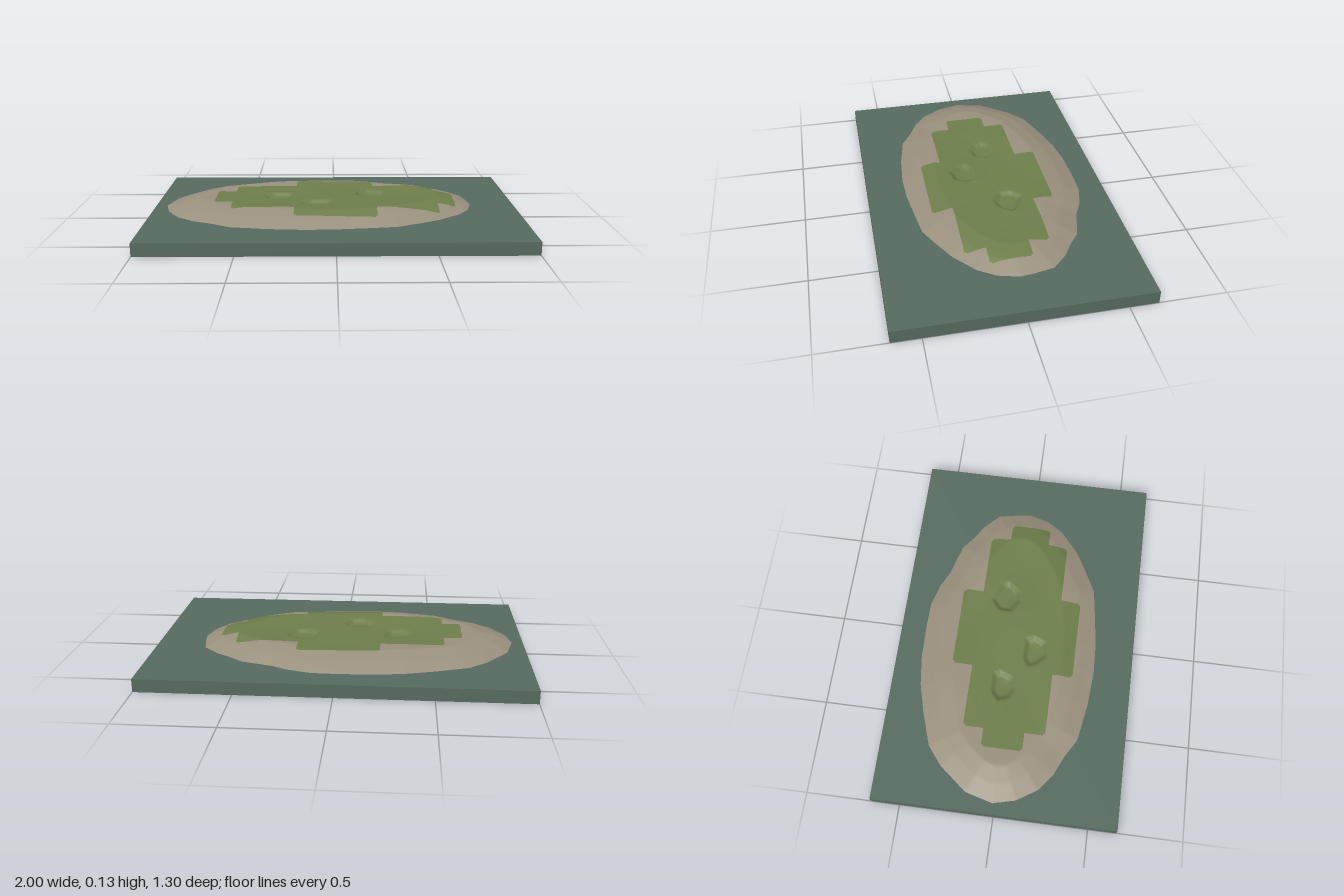
import * as THREE from 'three';

const STEP = 0.01, WATER = 0.07;

// Shoreline as x, z pairs
const SHORE = [
  -0.94, -0.01, -0.9, -0.16, -0.78, -0.31, -0.68, -0.39, -0.5, -0.45, -0.35, -0.49, -0.2, -0.51,
  0, -0.515, 0.13, -0.51, 0.25, -0.475, 0.33, -0.435, 0.5, -0.385, 0.57, -0.33, 0.65, -0.28,
  0.73, -0.2, 0.75, -0.1, 0.76, -0.02, 0.73, 0.09, 0.67, 0.18, 0.55, 0.28, 0.42, 0.35,
  0.32, 0.4, 0.17, 0.42, 0, 0.44, -0.16, 0.445, -0.35, 0.43, -0.55, 0.395, -0.65, 0.335,
  -0.75, 0.29, -0.84, 0.22, -0.91, 0.11,
];

// Outlines of the three hollows
const HOLLOWS = [
  [-0.4, -0.06, -0.35, -0.1, -0.25, -0.1, -0.23, -0.06, -0.26, 0.01, -0.33, 0.03, -0.38, 0],
  [0.12, -0.12, 0.18, -0.17, 0.28, -0.12, 0.3, -0.085, 0.25, -0.02, 0.19, -0.005, 0.12, -0.05],
  [-0.19, 0.08, -0.14, 0.05, -0.03, 0.05, -0.01, 0.1, -0.04, 0.165, -0.12, 0.18, -0.17, 0.13],
];

// Height over the distance inland from the shore
const SLOPE = [[-0.05, 0.045], [0, WATER], [0.09, 0.106], [0.18, 0.127], [0.3, 0.122], [0.6, 0.117]];

// Distance to a polygon's edge, positive inside
function insideDistance(poly, x, z) {
  let best = Infinity, inside = false;
  const n = poly.length;
  for (let i = 0; i < n; i += 2) {
    const ax = poly[i], az = poly[i + 1], bx = poly[(i + 2) % n], bz = poly[(i + 3) % n];
    const dx = bx - ax, dz = bz - az;
    const t = THREE.MathUtils.clamp(((x - ax) * dx + (z - az) * dz) / (dx * dx + dz * dz), 0, 1);
    best = Math.min(best, Math.hypot(x - ax - t * dx, z - az - t * dz));
    if ((az > z) !== (bz > z) && x < ax + ((z - az) / dz) * dx) inside = !inside;
  }
  return inside ? best : -best;
}

function heightAt(x, z) {
  const d = insideDistance(SHORE, x, z);
  let y = SLOPE[0][1];
  for (let i = 1; i < SLOPE.length; i++) {
    const [d0, y0] = SLOPE[i - 1], [d1, y1] = SLOPE[i];
    if (d >= d0) y = THREE.MathUtils.lerp(y0, y1, Math.min(1, (d - d0) / (d1 - d0)));
  }
  // gentle unevenness, fading out at the shore
  y += 0.003 * Math.sin(9 * x + 1) * Math.cos(11 * z) * THREE.MathUtils.clamp(d * 8, 0, 1);
  for (const hollow of HOLLOWS) {
    const h = insideDistance(hollow, x, z);
    if (h > 0) y -= 0.018 * Math.min(1, h / 0.02) + 0.06 * Math.max(0, h - 0.02);
  }
  return y;
}

// Stepped grass patch made of three crossed rectangles
const isGrass = (x, z) =>
  [[0.66, 0.11], [0.56, 0.22], [0.22, 0.33]].some(([w, d]) => {
    const ox = Math.abs(x) - w, oz = Math.abs(z) - d;
    return ox < 0 && oz < 0 && ox + oz < -0.015;
  });

// Height field with sand and grass as two groups of faces
function islandGeometry() {
  const x0 = -1, z0 = -0.6, nx = 186, nz = 113;
  const positions = [], sand = [], grass = [];
  for (let j = 0; j <= nz; j++) {
    for (let i = 0; i <= nx; i++) {
      const x = x0 + i * STEP, z = z0 + j * STEP;
      positions.push(x, heightAt(x, z), z);
    }
  }
  for (let j = 0; j < nz; j++) {
    for (let i = 0; i < nx; i++) {
      const a = j * (nx + 1) + i, b = a + 1, c = a + nx + 1, d = c + 1;
      // leave out what lies under the water
      if (Math.max(...[a, b, c, d].map((k) => positions[3 * k + 1])) < WATER) continue;
      const list = isGrass(x0 + (i + 0.5) * STEP, z0 + (j + 0.5) * STEP) ? grass : sand;
      list.push(a, c, b, b, c, d);
    }
  }
  const geometry = new THREE.BufferGeometry();
  geometry.setAttribute('position', new THREE.Float32BufferAttribute(positions, 3));
  geometry.setIndex([...sand, ...grass]);
  geometry.addGroup(0, sand.length, 0);
  geometry.addGroup(sand.length, grass.length, 1);
  geometry.computeVertexNormals();
  return geometry;
}

function material(name, color) {
  const m = new THREE.MeshStandardMaterial({ color });
  m.name = name;
  return m;
}

export function createModel() {
  const group = new THREE.Group();
  group.name = 'islandTile';
  const water = material('waterGreen', 0x566b5f);
  const sand = material('sand', 0x9a907e);
  const grass = material('grass', 0x6d7e4a);

  // Water slab with an earth underside
  const slab = new THREE.Mesh(
    new THREE.BoxGeometry(2, WATER, 1.3),
    [water, water, water, sand, water, water],
  );
  slab.position.y = WATER / 2;
  slab.name = 'waterSlab';

  // Island rising out of the slab
  const island = new THREE.Mesh(islandGeometry(), [sand, grass]);
  island.name = 'island';

  group.add(slab, island);
  return group;
}
